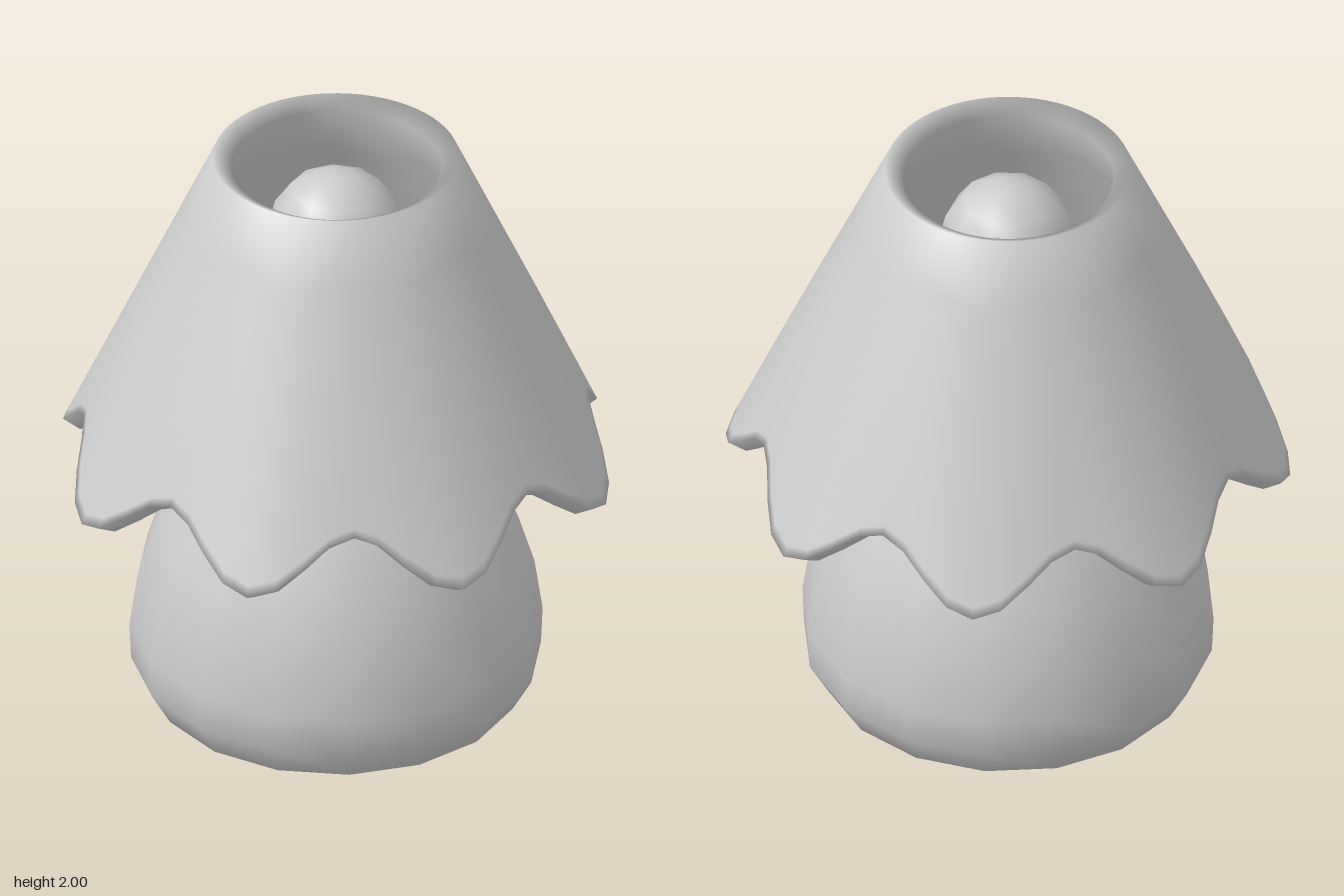
import * as THREE from 'three';
import { mergeVertices } from 'three/addons/utils/BufferGeometryUtils.js';

const material = new THREE.MeshStandardMaterial({ color: 0xcccccc });

// Weld the lathe seam and sharp rows so the whole surface shades smoothly
function smooth(geometry) {
  geometry.deleteAttribute('normal');
  geometry.deleteAttribute('uv');
  const welded = mergeVertices(geometry, 1e-4);
  welded.computeVertexNormals();
  return welded;
}

function turned(name, profile, sides, start = 0) {
  const points = profile.map(([r, y]) => new THREE.Vector2(r, y));
  const mesh = new THREE.Mesh(smooth(new THREE.LatheGeometry(points, sides, start)), material);
  mesh.name = name;
  return mesh;
}

// Thick conical shade whose lower rows follow eight scallops
function makeShade() {
  const top = 2, low = 0.93, scallops = 8, sides = 64;
  const rows = [0, 0.03, 0.2, 0.45, 0.65, 0.8, 1]; // hem to top
  const outer = rows.map((t) => [t, 0]);
  const inner = rows.map((t) => [t, 1]).reverse();
  const loop = [...outer, ...inner, outer[0]];
  // x holds a placeholder radius; the real section is set below
  const points = loop.map(([t, side]) => new THREE.Vector2(1 - side * 0.1, t));
  const geometry = new THREE.LatheGeometry(points, sides);
  const pos = geometry.attributes.position;
  for (let i = 0; i < pos.count; i++) {
    const phi = (Math.floor(i / loop.length) / sides) * Math.PI * 2;
    const [t, side] = loop[i % loop.length];
    const notch = 0.5 - 0.5 * Math.cos(scallops * phi);
    const hem = low + 0.18 * notch;
    const y = hem + (top - hem) * t;
    const flute = 0.012 * notch * Math.max(0, 1 - t * 3);
    const r = 0.375 + 0.458 * (top - y) - flute - side * 0.055;
    pos.setXYZ(i, Math.sin(phi) * r, y - side * 0.03, Math.cos(phi) * r);
  }
  const mesh = new THREE.Mesh(smooth(geometry), material);
  mesh.name = 'scallopedShade';
  return mesh;
}

export function createModel() {
  const lamp = new THREE.Group();
  lamp.name = 'tableLamp';

  // Rounded, pear-shaped body
  lamp.add(turned('base', [
    [0, 0], [0.24, 0.025], [0.44, 0.07], [0.565, 0.145], [0.625, 0.25], [0.63, 0.37],
    [0.605, 0.54], [0.555, 0.7], [0.49, 0.85], [0.41, 1.0], [0.32, 1.12],
    [0.22, 1.2], [0.11, 1.25], [0, 1.26],
  ], 16));

  // Short stem holding the bulb
  lamp.add(turned('socket', [[0.11, 1.18], [0.11, 1.42]], 16));

  // Bulb, narrow at the socket and round above
  lamp.add(turned('bulb', [
    [0, 1.38], [0.11, 1.39], [0.13, 1.46], [0.175, 1.56], [0.207, 1.65], [0.213, 1.73],
    [0.19, 1.82], [0.14, 1.89], [0.07, 1.925], [0, 1.935],
  ], 10, 0.4));

  lamp.add(makeShade());
  return lamp;
}
